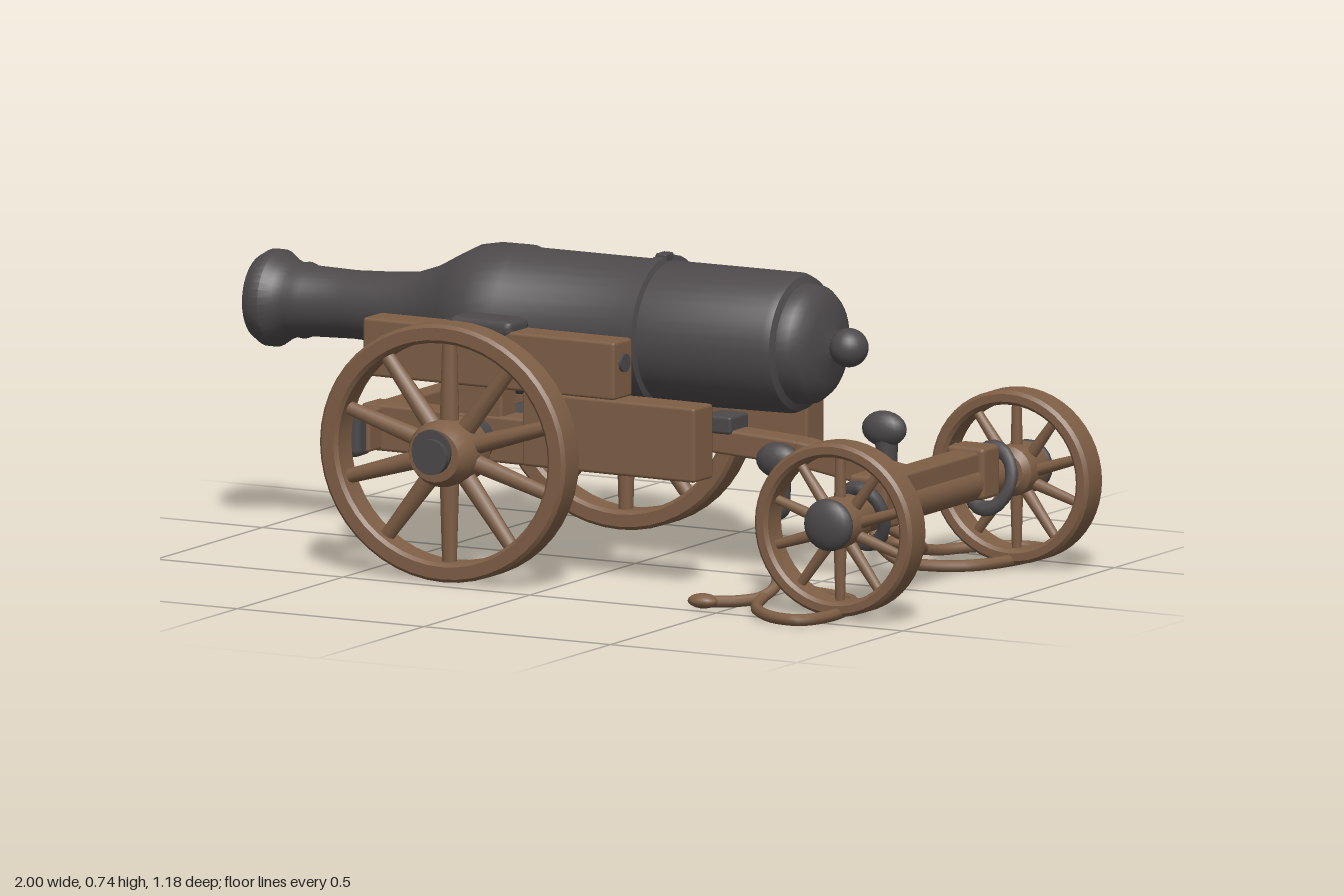
import * as THREE from 'three';
import { toCreasedNormals } from 'three/addons/utils/BufferGeometryUtils.js';
import { RoundedBoxGeometry } from 'three/addons/geometries/RoundedBoxGeometry.js';

const wood = new THREE.MeshStandardMaterial({ color: 0x7f5f46 });
wood.name = 'wood';
const iron = new THREE.MeshStandardMaterial({ color: 0x4d494b });
iron.name = 'iron';

const V = (p) => new THREE.Vector3(...p);

function add(parent, name, geo, mat, pos = [0, 0, 0]) {
  const m = new THREE.Mesh(geo, mat);
  m.name = name;
  m.position.set(...pos);
  parent.add(m);
  return m;
}

// box given by its min and max corners
function block(parent, name, mat, a, b, r = 0.008) {
  const geo = new RoundedBoxGeometry(b[0] - a[0], b[1] - a[1], b[2] - a[2], 1, r);
  return add(parent, name, geo, mat, a.map((v, i) => (v + b[i]) / 2));
}

// box whose z range is mirrored to side s
function sideBlock(parent, name, mat, s, a, b, r) {
  const z = [a[2] * s, b[2] * s].sort((p, q) => p - q);
  return block(parent, name, mat, [a[0], a[1], z[0]], [b[0], b[1], z[1]], r);
}

// turned solid along x (points are [axis position, radius])
function turned(points, segments = 32) {
  const geo = new THREE.LatheGeometry(points.map(([t, r]) => new THREE.Vector2(r, t)), segments);
  geo.rotateZ(-Math.PI / 2);
  return toCreasedNormals(geo, 0.6);
}

// rod along z
function rod(parent, name, mat, r, x, y, z0, z1) {
  const geo = new THREE.CylinderGeometry(r, r, Math.abs(z1 - z0), 20).rotateX(Math.PI / 2);
  return add(parent, name, toCreasedNormals(geo, 0.6), mat, [x, y, (z0 + z1) / 2]);
}

// tapered bar with a square section, from p to q
function beam(parent, name, mat, p, q, w, h) {
  const a = V(p), b = V(q);
  const m = add(parent, name, new RoundedBoxGeometry(a.distanceTo(b), h, w, 1, 0.008), mat);
  m.position.copy(a).add(b).multiplyScalar(0.5);
  m.rotation.z = Math.atan2(b.y - a.y, b.x - a.x);
  return m;
}

function wheel(name, R, rim, hubR, spokes, width) {
  const g = new THREE.Group();
  g.name = name;
  // felloe ring with slightly eased edges
  const w = width / 2, e = 0.008, r = R - rim;
  const ring = [[-w, r + e], [-w, R - e], [-w + e, R], [w - e, R], [w, R - e], [w, r + e], [w - e, r], [-w + e, r], [-w, r + e]];
  const geo = turned(ring, 48).rotateY(Math.PI / 2);
  const tyre = add(g, 'rim', geo, wood);
  tyre.material = wood;
  const len = R - rim - hubR * 0.6 + 0.01;
  for (let i = 0; i < spokes; i++) {
    const a = (i / spokes) * Math.PI * 2 + Math.PI / 2;
    const d = hubR * 0.6 + len / 2;
    const sp = add(g, 'spoke', new THREE.CylinderGeometry(R * 0.055, R * 0.075, len, 8), wood,
      [Math.cos(a) * d, Math.sin(a) * d, 0]);
    sp.rotation.z = a - Math.PI / 2;
  }
  return g;
}

function buildBarrel(root) {
  const g = new THREE.Group();
  g.name = 'barrel';
  g.position.y = 0.557;
  root.add(g);
  const tube = add(g, 'gunTube', turned([
    [-0.8, 0], [-0.8, 0.06], [-0.985, 0.072], [-1, 0.085], [-0.998, 0.1], [-0.975, 0.114], [-0.95, 0.114],
    [-0.925, 0.097], [-0.9, 0.087], [-0.88, 0.09], [-0.86, 0.083], [-0.75, 0.08], [-0.65, 0.084], [-0.58, 0.09],
    [-0.52, 0.11], [-0.45, 0.148], [-0.41, 0.168], [-0.37, 0.175], [-0.29, 0.175], [-0.28, 0.17], [0.06, 0.167],
    [0.065, 0.18], [0.09, 0.18], [0.095, 0.167], [0.43, 0.165], [0.447, 0.158], [0.455, 0.142], [0.485, 0.138],
    [0.505, 0.122], [0.52, 0.09], [0.527, 0.05], [0.535, 0.027], [0.56, 0.025], [0.56, 0],
  ], 40), iron);
  tube.rotation.z = 0.008;
  add(g, 'cascabelKnob', new THREE.SphereGeometry(0.046, 24, 16), iron, [0.572, 0.004, 0]);
  add(g, 'ventBlock', new RoundedBoxGeometry(0.03, 0.02, 0.04, 1, 0.005), iron, [0.078, 0.177, 0]);
  rod(g, 'trunnion', iron, 0.045, -0.25, -0.01, -0.27, 0.27);
}

function buildCarriage(root) {
  const g = new THREE.Group();
  g.name = 'carriage';
  root.add(g);
  rod(g, 'mainAxle', iron, 0.052, -0.265, 0.318, -0.5, 0.5);
  block(g, 'frontCrossbar', wood, [-0.575, 0.27, -0.34], [-0.52, 0.37, 0.34]);

  for (const s of [1, -1]) {
    const cheek = new THREE.Group();
    cheek.name = s > 0 ? 'leftCheek' : 'rightCheek';
    cheek.rotation.y = -0.025 * s;
    g.add(cheek);
    sideBlock(cheek, 'upperBeam', wood, s, [-0.565, 0.44, 0.212], [0.12, 0.578, 0.297]);
    sideBlock(cheek, 'rearBeam', wood, s, [-0.13, 0.265, 0.212], [0.34, 0.442, 0.3]);
    sideBlock(cheek, 'lowerSill', wood, s, [-0.57, 0.265, 0.215], [-0.1, 0.375, 0.295]);
    sideBlock(cheek, 'axleBolster', wood, s, [-0.34, 0.36, 0.22], [-0.19, 0.45, 0.29]);
    // trunnion cap and bolts
    sideBlock(cheek, 'trunnionCap', iron, s, [-0.335, 0.56, 0.207], [-0.16, 0.603, 0.302], 0.018);
    const bolt = add(cheek, 'endBolt', new THREE.CylinderGeometry(0.022, 0.022, 0.01, 12), iron, [0.122, 0.525, 0.255 * s]);
    bolt.rotation.z = Math.PI / 2;
    sideBlock(g, 'crossbarEnd', iron, s, [-0.628, 0.26, 0.302], [-0.53, 0.375, 0.375], 0.018);

    // main wheel and hub
    const w = wheel(s > 0 ? 'leftMainWheel' : 'rightMainWheel', 0.305, 0.045, 0.085, 10, 0.078);
    w.position.set(-0.262, 0.307, 0.417 * s);
    w.scale.x = 1.08;
    g.add(w);
    const hub = turned([[-0.06, 0], [-0.06, 0.06], [-0.045, 0.078], [0.045, 0.078], [0.075, 0.062], [0.078, 0]], 24);
    add(w, 'hub', hub, wood).rotation.y = -s * Math.PI / 2;
    rod(w, 'hubCap', iron, 0.042, 0, 0, 0.06 * s, 0.095 * s);
  }
}

function buildLimber(root) {
  const g = new THREE.Group();
  g.name = 'limber';
  root.add(g);
  beam(g, 'pole', wood, [-0.26, 0.345, 0], [0.45, 0.305, 0], 0.075, 0.06);
  beam(g, 'poleRear', wood, [0.44, 0.306, 0], [0.78, 0.25, 0], 0.075, 0.06);
  block(g, 'polePad', iron, [0.2, 0.335, -0.045], [0.28, 0.378, 0.045]);
  block(g, 'crossBeam', wood, [0.737, 0.205, -0.22], [0.812, 0.305, 0.22]);
  rod(g, 'limberAxle', wood, 0.045, 0.778, 0.23, -0.46, 0.46);

  for (const s of [1, -1]) {
    sideBlock(g, 'beamEnd', wood, s, [0.722, 0.19, 0.19], [0.825, 0.315, 0.272], 0.012);
    // shackle around the axle
    const shackle = add(g, 'shackle', new THREE.TorusGeometry(0.058, 0.015, 8, 20), iron, [0.778, 0.225, 0.3 * s]);
    shackle.scale.y = 1.25;
    shackle.rotation.x = 0.3 * s;

    // small wheel and hub
    const w = wheel(s > 0 ? 'leftSmallWheel' : 'rightSmallWheel', 0.205, 0.034, 0.065, 10, 0.078);
    w.position.set(0.785, 0.215, 0.417 * s);
    w.scale.x = 1.03;
    g.add(w);
    const hub = turned([[-0.06, 0], [-0.055, 0.045], [-0.04, 0.06], [0.035, 0.062], [0.06, 0.055], [0.06, 0]], 20);
    add(w, 'hub', hub, wood, [0, 0.015, 0]).rotation.y = -s * Math.PI / 2;
    const cap = add(w, 'hubCap', new THREE.SphereGeometry(0.062, 20, 12), iron, [0, 0.015, 0.055 * s]);
    cap.scale.z = 0.45;
  }
}

function buildHarness(root) {
  for (const s of [1, -1]) {
    const g = new THREE.Group();
    g.name = s > 0 ? 'leftHarness' : 'rightHarness';
    root.add(g);
    const strap = (name, pts) => add(g, name, new THREE.TubeGeometry(
      new THREE.CatmullRomCurve3(pts.map(([x, y, z]) => new THREE.Vector3(x, y, z * s))), 48, 0.014, 8), wood);
    strap('hangingStrap', [[0.525, 0.22, 0.25], [0.505, 0.16, 0.245], [0.495, 0.11, 0.25], [0.53, 0.085, 0.28],
      [0.565, 0.05, 0.33], [0.555, 0.027, 0.38], [0.51, 0.02, 0.43], [0.46, 0.02, 0.46]]);
    strap('groundLoop', [[0.497, 0.12, 0.25], [0.52, 0.07, 0.22], [0.58, 0.025, 0.222], [0.66, 0.018, 0.235],
      [0.74, 0.018, 0.28], [0.785, 0.018, 0.38], [0.795, 0.018, 0.5], [0.765, 0.018, 0.57], [0.7, 0.018, 0.57],
      [0.62, 0.018, 0.51], [0.57, 0.018, 0.43], [0.557, 0.027, 0.375]]);
    add(g, 'strapKnob', new THREE.SphereGeometry(0.032, 14, 10), wood, [0.445, 0.021, 0.465 * s]).scale.set(1.2, 0.55, 0.9);

    // iron grip
    add(g, 'gripHead', new THREE.SphereGeometry(0.05, 16, 12), iron, [0.525, 0.328, 0.25 * s]).scale.set(1.15, 0.85, 0.65);
    add(g, 'gripNeck', new THREE.CylinderGeometry(0.028, 0.024, 0.1, 12), iron, [0.53, 0.275, 0.252 * s]);
    add(g, 'gripFoot', new THREE.SphereGeometry(0.034, 14, 10), iron, [0.527, 0.222, 0.255 * s]).scale.set(0.9, 1, 0.8);
  }
}

export function createModel() {
  const root = new THREE.Group();
  root.name = 'fieldCannon';
  buildBarrel(root);
  buildCarriage(root);
  buildLimber(root);
  buildHarness(root);
  return root;
}
